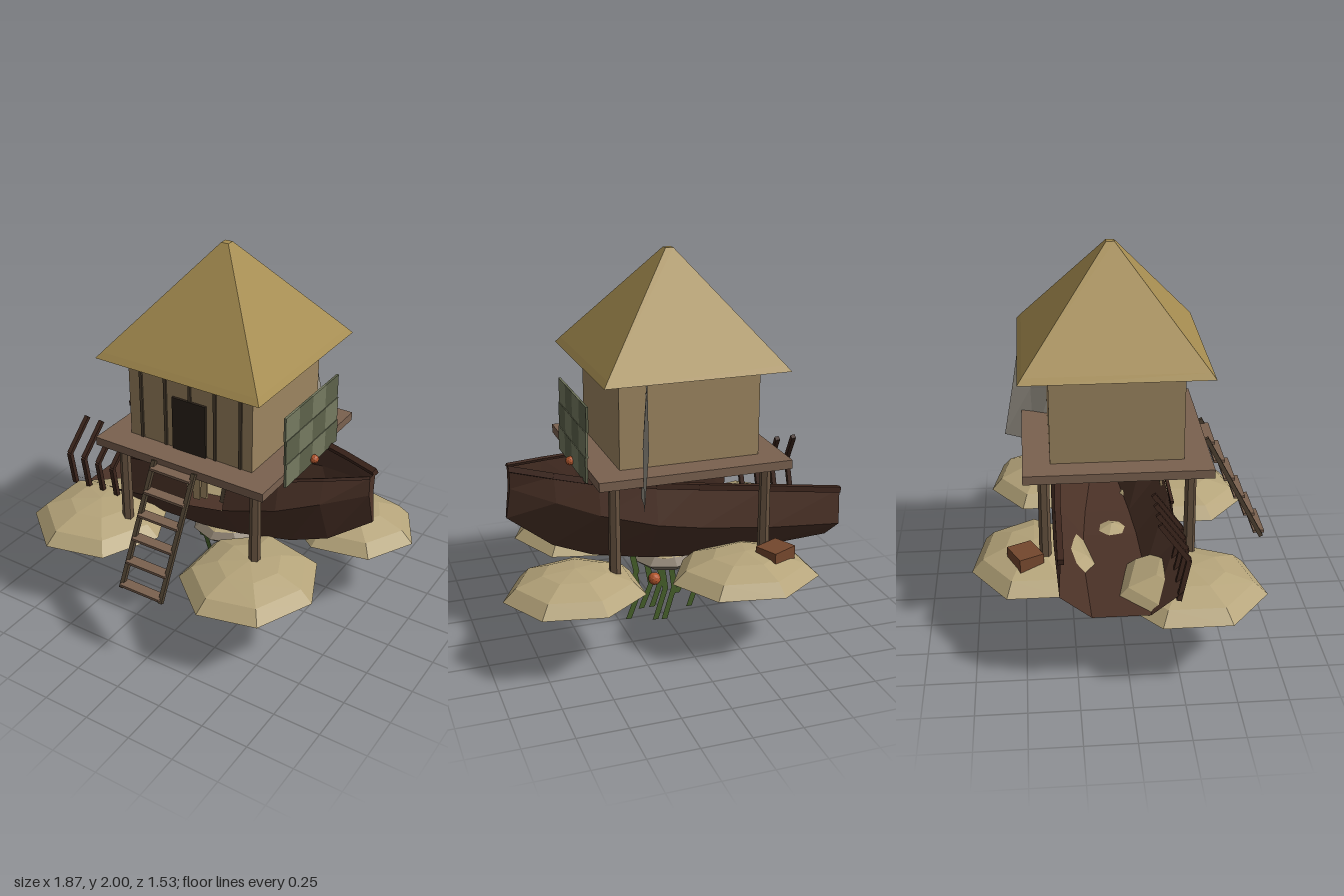
import * as THREE from 'three';

const mat = (color, double) => new THREE.MeshStandardMaterial({
  color, flatShading: true, side: double ? THREE.DoubleSide : THREE.FrontSide,
});
const M = {
  thatch: mat(0xa58c50), wall: mat(0x9c8560), dark: mat(0x2c231b), deck: mat(0x7a614f),
  post: mat(0x66523f), batten: mat(0x4f4232), sand: mat(0xb5a47a), hull: mat(0x4b3227, true),
  rib: mat(0x3d261d), sail: mat(0x9a958a, true), netA: mat(0x5d624b), netB: mat(0x757a60),
  orange: mat(0xb0552c), blue: mat(0x28324a), weed: mat(0x47602a, true), rock: mat(0x857a6a),
  crate: mat(0x74472d),
};

function add(parent, name, geometry, material, x = 0, y = 0, z = 0) {
  const mesh = new THREE.Mesh(geometry, material);
  mesh.name = name;
  mesh.position.set(x, y, z);
  parent.add(mesh);
  return mesh;
}
const box = (p, name, m, w, h, d, x, y, z) => add(p, name, new THREE.BoxGeometry(w, h, d), m, x, y, z);

// Straight bar between two points
function bar(p, name, m, a, b, w, d = w) {
  const A = new THREE.Vector3(...a), B = new THREE.Vector3(...b), dir = B.clone().sub(A);
  const mesh = box(p, name, m, w, dir.length(), d, 0, 0, 0);
  mesh.position.copy(A).add(B).multiplyScalar(0.5);
  mesh.quaternion.setFromUnitVectors(new THREE.Vector3(0, 1, 0), dir.normalize());
  return mesh;
}

// Sheet of quads between rows of points; skip(i, j) leaves holes
function sheet(rows, skip = () => false) {
  const pos = [];
  for (let i = 0; i < rows.length - 1; i++) {
    for (let j = 0; j < rows[i].length - 1; j++) {
      if (skip(i, j)) continue;
      const a = rows[i][j], b = rows[i + 1][j], c = rows[i + 1][j + 1], d = rows[i][j + 1];
      pos.push(...a, ...b, ...c, ...a, ...c, ...d);
    }
  }
  const g = new THREE.BufferGeometry();
  g.setAttribute('position', new THREE.Float32BufferAttribute(pos, 3));
  g.computeVertexNormals();
  return g;
}

// Square frustum given by half widths
const frustum = (top, bottom, h) =>
  new THREE.CylinderGeometry(top * Math.SQRT2, bottom * Math.SQRT2, h, 4).rotateY(Math.PI / 4);

function buildHut() {
  const g = new THREE.Group();
  g.name = 'hut';
  add(g, 'roof', frustum(0.02, 0.442, 0.515), M.thatch, -0.015, 1.7425, -0.035);
  add(g, 'eave', frustum(0.442, 0.465, 0.03), M.thatch, -0.015, 1.47, -0.035);
  box(g, 'walls', M.wall, 0.72, 0.46, 0.655, -0.02, 1.23, -0.028);
  box(g, 'door', M.dark, 0.195, 0.29, 0.02, -0.018, 1.145, 0.302);
  for (let i = 0; i < 5; i++) box(g, 'wallBatten', M.batten, 0.016, 0.45, 0.016, -0.305 + i * 0.145, 1.228, 0.3);
  box(g, 'platform', M.deck, 0.985, 0.045, 0.925, -0.013, 0.978, -0.028);
  for (const x of [-0.405, 0.38]) {
    for (const z of [0.33, -0.39]) {
      add(g, 'stiltPost', new THREE.CylinderGeometry(0.028, 0.031, 0.565, 6), M.post, x, 0.677, z);
    }
  }
  return g;
}

function buildLadder() {
  const g = new THREE.Group();
  g.name = 'ladder';
  for (const x of [-0.135, 0.1]) bar(g, 'ladderRail', M.batten, [x, 0.99, 0.445], [x, 0.405, 0.755], 0.022);
  for (let i = 0; i < 6; i++) {
    const t = 0.05 + i * 0.182;
    box(g, 'ladderRung', M.deck, 0.235, 0.014, 0.058, -0.018, 0.99 - t * 0.585, 0.445 + t * 0.31);
  }
  return g;
}

function buildBoat() {
  const g = new THREE.Group();
  g.name = 'wreckedBoat';
  // x, rim y, rim half width, bilge y, bilge half width, keel y, keel half width
  const stations = [
    [-0.86, 0.74, 0.28, 0.55, 0.29, 0.43, 0.14],
    [-0.45, 0.80, 0.28, 0.59, 0.305, 0.415, 0.15],
    [-0.08, 0.85, 0.27, 0.64, 0.305, 0.415, 0.14],
    [0.14, 0.88, 0.26, 0.68, 0.30, 0.43, 0.12],
    [0.42, 0.915, 0.22, 0.75, 0.25, 0.47, 0.08],
    [0.62, 0.94, 0.13, 0.81, 0.16, 0.54, 0.05],
    [0.82, 0.965, 0.03, 0.86, 0.025, 0.70, 0.01],
  ];
  const cz = -0.045;
  const rows = stations.map(([x, ry, rw, by, bw, ky, kw], i) => {
    const kx = i === 6 ? x + 0.02 : x;
    return [[x, ry, cz - rw], [x, by, cz - bw], [kx, ky, cz - kw],
      [kx, ky, cz + kw], [x, by, cz + bw], [x, ry, cz + rw]];
  });
  // Upper front planking is missing at the stern and at the breach
  add(g, 'hull', sheet(rows, (i, j) => j === 4 && (i === 0 || i === 2)), M.hull);
  add(g, 'stem', sheet([rows[6].slice(0, 3), rows[6].slice(3).reverse()]), M.hull);
  for (let i = 0; i < 6; i++) {
    bar(g, 'backRail', M.rib, rows[i][0], rows[i + 1][0], 0.03, 0.03);
    if (i !== 0 && i !== 2) bar(g, 'frontRail', M.rib, rows[i][5], rows[i + 1][5], 0.016);
  }
  // Bare ribs at the stern
  for (let i = 0; i < 4; i++) {
    const x = -0.845 + i * 0.096;
    const lower = [x, 0.5, 0.225], knee = [x + 0.012, 0.71, 0.27], tip = [x + 0.04, 0.885, 0.135];
    bar(g, 'hullRib', M.rib, lower, knee, 0.024);
    bar(g, 'hullRib', M.rib, knee, tip, 0.024);
  }
  // Broken planks at the breach
  bar(g, 'brokenPlank', M.wall, [-0.03, 0.68, 0.23], [-0.045, 0.95, 0.2], 0.04, 0.015);
  bar(g, 'brokenPlank', M.wall, [0.015, 0.7, 0.23], [0.005, 0.95, 0.2], 0.035, 0.015);
  bar(g, 'brokenPlank', M.batten, [0.13, 0.72, 0.24], [0.15, 0.95, 0.2], 0.022, 0.015);
  return g;
}

function buildMounds() {
  const g = new THREE.Group();
  g.name = 'sandMounds';
  // centre x, centre z, radius x, radius z
  const mounds = [[-0.60, 0.31, 0.37, 0.385], [0.37, 0.355, 0.356, 0.385],
    [0.577, -0.365, 0.358, 0.32], [-0.285, -0.445, 0.385, 0.325]];
  const profile = [[0, 0], [1, 0], [0.82, 0.5], [0.45, 0.87], [0, 1]].map(([r, y]) => new THREE.Vector2(r, y));
  for (const [x, z, rx, rz] of mounds) {
    const geo = new THREE.LatheGeometry(profile, 7, Math.PI / 2).scale(rx, 0.125, rz);
    add(g, 'sandMound', geo, M.sand, x, 0.4, z);
  }
  return g;
}

function buildReef() {
  const g = new THREE.Group();
  g.name = 'hangingReef';
  add(g, 'rock', new THREE.SphereGeometry(1, 8, 4).scale(0.19, 0.055, 0.16), M.rock, -0.015, 0.362, -0.03);
  add(g, 'sandCap', new THREE.ConeGeometry(0.13, 0.05, 7), M.sand, -0.01, 0.422, -0.03);
  // Seaweed ribbons: x, top y, length
  const weeds = [[-0.23, 0.4, 0.2], [-0.16, 0.35, 0.29], [-0.09, 0.36, 0.21], [-0.02, 0.34, 0.335],
    [0.03, 0.33, 0.32], [0.05, 0.38, 0.29], [0.11, 0.34, 0.25], [0.19, 0.4, 0.2], [0.18, 0.3, 0.26]];
  for (const [x, top, len] of weeds) {
    const rows = [[0, 0], [-0.02, 0.45], [0.035, 1]].map(([dx, t]) =>
      [[x + dx - 0.016, top - t * len, -0.07], [x + dx + 0.016, top - t * len, -0.07]]);
    add(g, 'seaweed', sheet(rows), M.weed);
  }
  add(g, 'hangingFloat', new THREE.IcosahedronGeometry(0.034, 1), M.orange, 0.078, 0.265, -0.093);
  for (const [x, y] of [[-0.15, 0.302], [-0.13, 0.31]]) {
    add(g, 'shell', new THREE.IcosahedronGeometry(0.022, 0), M.blue, x, y, -0.045);
  }
  return g;
}

// Checked net hanging on the left side
function buildNet() {
  const g = new THREE.Group();
  g.name = 'net';
  for (let i = 0; i < 4; i++) {
    for (let j = 0; j < 3; j++) {
      box(g, 'netSquare', (i + j) % 2 ? M.netB : M.netA, 0.012, 0.128, 0.1325,
        0.487 - j * 0.004, 0.994 + j * 0.128, -0.229 + i * 0.1325);
    }
  }
  add(g, 'netFloat', new THREE.IcosahedronGeometry(0.024, 1), M.orange, 0.503, 0.958, -0.035);
  return g;
}

export function createModel() {
  const model = new THREE.Group();
  model.name = 'stiltHut';
  model.add(buildHut(), buildLadder(), buildBoat(), buildMounds(), buildReef(), buildNet());
  // Torn sail hanging behind the hut
  add(model, 'tornSail', sheet([
    [[0.2, 1.45, -0.35], [0.22, 1.45, -0.42], [0.24, 1.45, -0.485]],
    [[0.2, 1.15, -0.33], [0.25, 1.13, -0.44], [0.25, 1.14, -0.535]],
    [[0.21, 0.82, -0.28], [0.24, 0.83, -0.43], [0.29, 0.85, -0.585]],
  ]), M.sail);
  // Half-buried crate
  box(model, 'crate', M.crate, 0.15, 0.1, 0.13, -0.43, 0.5, -0.49).rotation.y = 0.45;
  return model;
}
